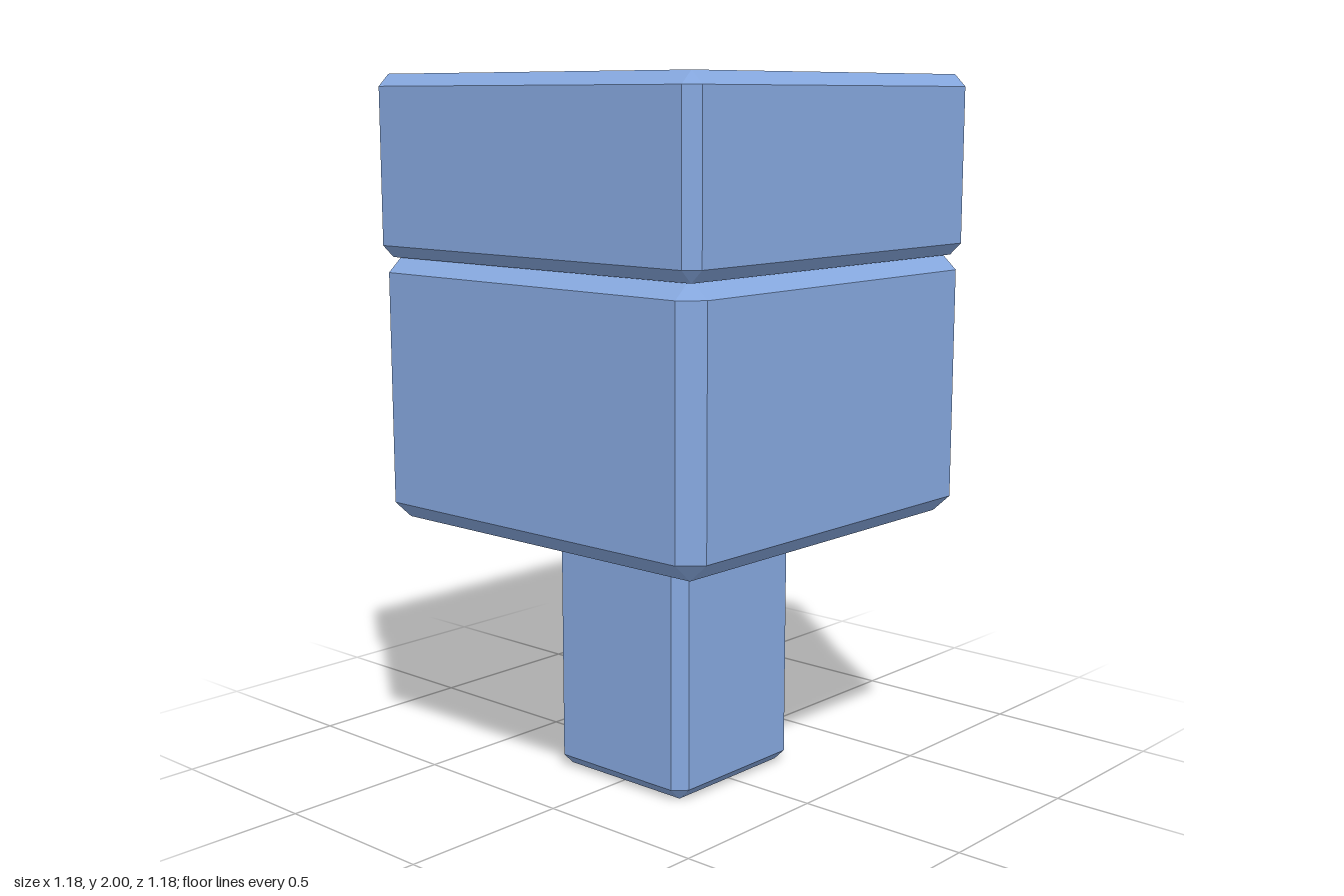
import * as THREE from 'three';
import { ConvexGeometry } from 'three/addons/geometries/ConvexGeometry.js';

// Square block with chamfered edges: half width, bottom, top, side and vertical bevel
function chamferedBlock(half, y0, y1, bevel, bevelY) {
  const points = [];
  const inner = half - bevel;
  for (const sx of [-1, 1]) {
    for (const sz of [-1, 1]) {
      for (const [y, dir] of [[y0, 1], [y1, -1]]) {
        points.push(
          new THREE.Vector3(sx * inner, y, sz * inner),
          new THREE.Vector3(sx * half, y + dir * bevelY, sz * inner),
          new THREE.Vector3(sx * inner, y + dir * bevelY, sz * half)
        );
      }
    }
  }
  return new ConvexGeometry(points);
}

export function createModel() {
  const model = new THREE.Group();
  model.name = 'stackedBlocks';
  const blue = new THREE.MeshStandardMaterial({ color: 0x86a8df });
  blue.name = 'blue';

  const parts = [
    ['stem', 0.247, 0, 0.765, 0.035, 0.034],
    ['lowerCrown', 0.59, 0.753, 1.507, 0.055, 0.05],
    ['upperCrown', 0.591, 1.497, 2, 0.035, 0.034],
  ];
  for (const [name, ...size] of parts) {
    const mesh = new THREE.Mesh(chamferedBlock(...size), blue);
    mesh.name = name;
    model.add(mesh);
  }
  return model;
}
